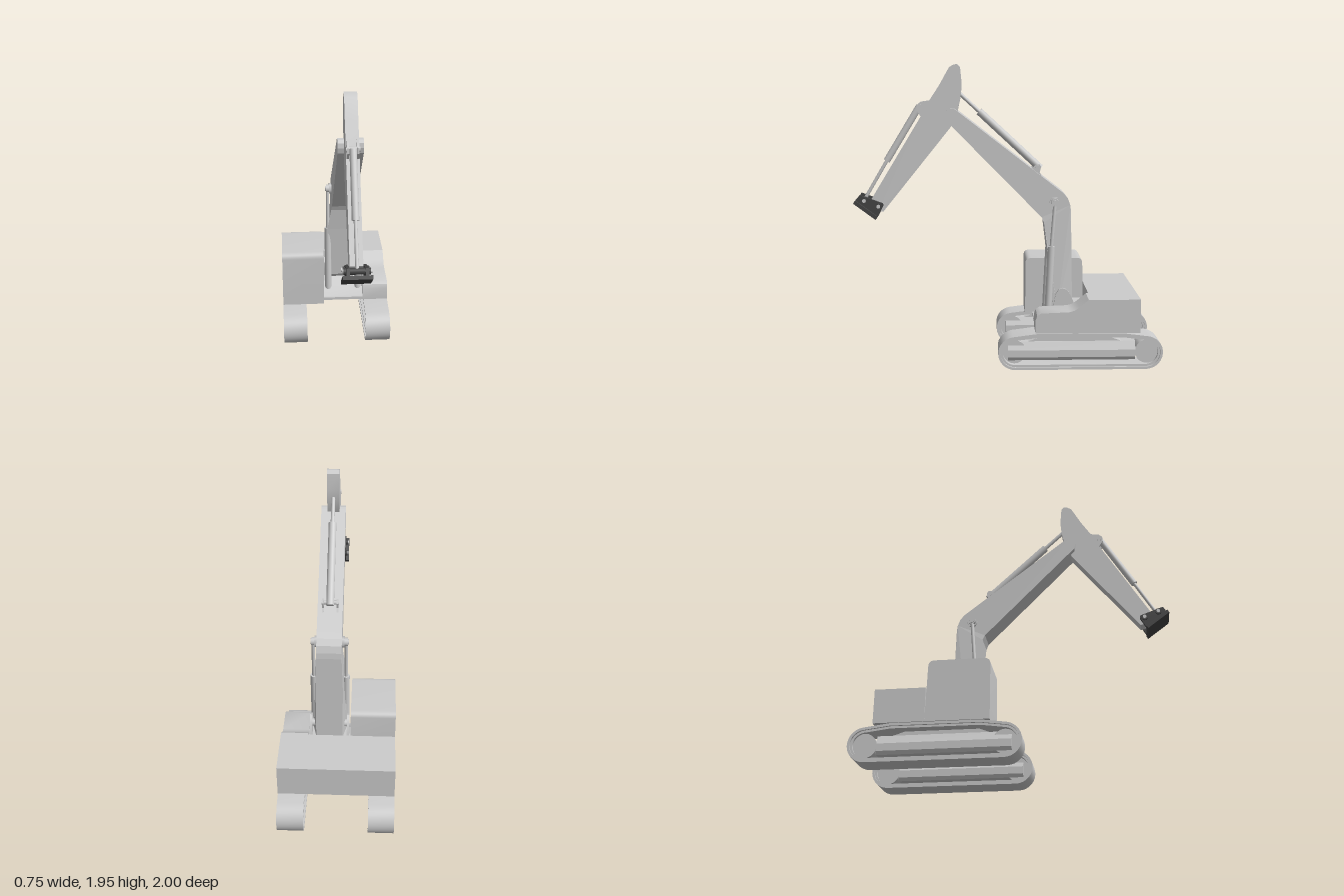
import * as THREE from 'three';
import { toCreasedNormals } from 'three/addons/utils/BufferGeometryUtils.js';

const grey = new THREE.MeshStandardMaterial({ color: 0xcccccc });
const dark = new THREE.MeshStandardMaterial({ color: 0x444444 });
const MID = 0.06; // x of the digging arm

// Shape or hole path through [z, y] points
function trace(path, pts) {
  path.setFromPoints(pts.map(([z, y]) => new THREE.Vector2(-z, y)));
  path.closePath();
  return path;
}

// Side profile extruded from x0 to x1
function slab(name, shape, x0, x1, mat = grey) {
  const geo = new THREE.ExtrudeGeometry(shape, { depth: x1 - x0, bevelEnabled: false, curveSegments: 8 });
  geo.rotateY(Math.PI / 2).translate(x0, 0, 0);
  const mesh = new THREE.Mesh(toCreasedNormals(geo, 0.6), mat);
  mesh.name = name;
  return mesh;
}
const plate = (name, pts, x0, x1, mat) => slab(name, trace(new THREE.Shape(), pts), x0, x1, mat);

// Cylinder between two [x, y, z] points
function rod(name, a, b, r, mat = grey, sides = 20) {
  const A = new THREE.Vector3(...a), B = new THREE.Vector3(...b);
  const mesh = new THREE.Mesh(new THREE.CylinderGeometry(r, r, A.distanceTo(B), sides), mat);
  mesh.position.copy(A).add(B).multiplyScalar(0.5);
  mesh.quaternion.setFromUnitVectors(new THREE.Vector3(0, 1, 0), B.sub(A).normalize());
  mesh.name = name;
  return mesh;
}
const pin = (name, y, z, r, x0, x1, mat, sides) => rod(name, [x0, y, z], [x1, y, z], r, mat, sides);

// Hydraulic ram: barrel from a to b, rod from b to c
function ram(name, a, b, c, r) {
  const g = new THREE.Group();
  g.name = name;
  g.add(rod('barrel', a, b, r), rod('pistonRod', b, c, r * 0.5));
  return g;
}

// Closed track outline, set inwards by d, counter-clockwise so that holes face inwards
function trackLoop(path, d) {
  const r = 0.11 - d, pts = [];
  const arc = (z, from) => {
    for (let i = 0; i <= 14; i++) {
      const a = from + (i / 14) * 3;
      pts.push([z + Math.cos(a) * r, 0.11 + Math.sin(a) * r]);
    }
  };
  arc(-0.045, -Math.PI / 2);
  pts.push([-0.19, 0.24 - d], [-0.74, 0.24 - d]);
  arc(-0.89, Math.PI / 2 + 0.14);
  return trace(path, pts.reverse());
}

// Hollow band between two insets of the track outline
function band(name, outer, inner, x0, x1) {
  const shape = trackLoop(new THREE.Shape(), outer);
  shape.holes.push(trackLoop(new THREE.Path(), inner));
  return slab(name, shape, x0, x1);
}

// Crawler track between x0 and x1
function makeTrack(name, x0, x1) {
  const g = new THREE.Group();
  g.name = name;
  g.add(band('belt', 0, 0.016, x0, x1), band('chain', 0.014, 0.03, x0 + 0.012, x1 - 0.012));

  // Track beam with sloping sides
  const m = (x0 + x1) / 2;
  const section = new THREE.Shape([[-0.045, 0.053], [0.045, 0.053], [0.058, 0.075], [0.058, 0.122],
    [0.035, 0.175], [-0.035, 0.175], [-0.058, 0.122], [-0.058, 0.075]].map(([x, y]) => new THREE.Vector2(x, y)));
  const beam = new THREE.Mesh(new THREE.ExtrudeGeometry(section, { depth: 0.825, bevelEnabled: false }), grey);
  beam.position.set(m, 0, -0.825);
  beam.name = 'trackBeam';
  g.add(beam);
  g.add(plate('beamTop', [[-0.12, 0.17], [-0.2, 0.2], [-0.66, 0.2], [-0.75, 0.17]], m - 0.03, m + 0.03));
  g.add(pin('idlerWheel', 0.11, -0.04, 0.078, m - 0.045, m + 0.045));
  g.add(pin('driveWheel', 0.11, -0.9, 0.078, m - 0.055, m + 0.055));
  return g;
}

function makeBody() {
  const g = new THREE.Group();
  g.name = 'upperBody';
  g.add(plate('engineHousing', [[-0.53, 0.243], [-0.53, 0.462], [-0.85, 0.462], [-0.85, 0.243]], -0.373, 0.373));
  // Deck rising towards the boom foot
  g.add(plate('deck', [[-0.18, 0.243], [-0.18, 0.263], [-0.2, 0.265], [-0.33, 0.36], [-0.53, 0.36], [-0.53, 0.243]],
    -0.085, 0.2));
  g.add(plate('sideHood', [[-0.175, 0.243], [-0.175, 0.33], [-0.185, 0.358], [-0.21, 0.375], [-0.39, 0.382],
    [-0.425, 0.392], [-0.455, 0.412], [-0.515, 0.462], [-0.53, 0.462], [-0.53, 0.243]], 0.197, 0.373));
  const cab = new THREE.Shape();
  cab.moveTo(0.13, 0.243);
  cab.lineTo(0.53, 0.243);
  cab.lineTo(0.52, 0.6);
  cab.quadraticCurveTo(0.52, 0.64, 0.48, 0.64);
  cab.lineTo(0.17, 0.64);
  cab.quadraticCurveTo(0.13, 0.64, 0.13, 0.6);
  g.add(slab('cab', cab, -0.373, -0.083));
  return g;
}

function makeBoom() {
  const g = new THREE.Group();
  g.name = 'boomAssembly';
  const boom = plate('boom', [[0.335, 1.662], [0.352, 1.67], [0.375, 1.667], [0.391, 1.65], [0.396, 1.62],
    [0.388, 1.585], [-0.195, 0.99], [-0.225, 0.96], [-0.24, 0.925], [-0.26, 0.77], [-0.298, 0.39], [-0.33, 0.355],
    [-0.43, 0.355], [-0.421, 0.77], [-0.417, 1.0], [-0.412, 1.04], [-0.395, 1.085], [-0.365, 1.12],
    [-0.33, 1.147]], MID - 0.08, MID + 0.08);
  // Widen the front of the lower boom
  const pos = boom.geometry.attributes.position;
  for (let i = 0; i < pos.count; i++) {
    const t = THREE.MathUtils.clamp((0.95 - pos.getY(i)) / 0.18, 0, 1);
    const flare = pos.getZ(i) < -0.4 ? 0.1 : 0.38;
    pos.setX(i, MID + (pos.getX(i) - MID) * (1 + flare * t));
  }
  boom.geometry.computeVertexNormals();
  g.add(boom);
  g.add(pin('elbowPin', 1.06, -0.31, 0.018, MID - 0.122, MID + 0.122));
  g.add(pin('footPin', 0.43, -0.365, 0.025, MID - 0.132, MID + 0.132));
  for (const s of [-1, 1]) {
    const x = MID + s * 0.106;
    g.add(pin('pinNut', 1.06, -0.31, 0.037, MID + s * 0.078, MID + s * 0.096, grey, 6));
    g.add(pin('rodEye', 1.06, -0.31, 0.026, x - 0.01, x + 0.01));
    g.add(ram('boomRam', [x, 0.27, -0.265], [x, 0.77, -0.288], [x, 1.06, -0.31], 0.023));
    // Foot lugs on the deck and ram lugs on the boom back
    const f = MID + s * 0.123;
    g.add(plate('footLug', [[-0.29, 0.26], [-0.31, 0.42], [-0.32, 0.46], [-0.34, 0.487], [-0.365, 0.495], [-0.39, 0.485],
      [-0.41, 0.46], [-0.44, 0.39], [-0.47, 0.26]], f - 0.008, f + 0.008));
    const b = MID + s * 0.046;
    g.add(plate('stickRamLug', [[-0.13, 1.25], [-0.19, 1.305], [-0.21, 1.305], [-0.222, 1.29], [-0.212, 1.25],
      [-0.245, 1.2], [-0.2, 1.2]], b - 0.006, b + 0.006));
  }
  g.add(pin('stickRamPin', 1.285, -0.2, 0.014, MID - 0.055, MID + 0.055));
  g.add(ram('stickRam', [MID, 1.275, -0.218], [MID, 1.645, 0.18], [MID, 1.765, 0.31], 0.025));
  return g;
}

function makeStick() {
  const g = new THREE.Group();
  g.name = 'stickAssembly';
  g.add(plate('stick', [[0.345, 1.945], [0.322, 1.95], [0.303, 1.93], [0.293, 1.82], [0.3, 1.74], [0.32, 1.65],
    [0.37, 1.54], [0.81, 0.995], [0.84, 1.0], [0.885, 1.08], [0.555, 1.62], [0.5, 1.72], [0.44, 1.81],
    [0.372, 1.93]], MID - 0.04, MID + 0.04));
  for (const s of [-1, 1]) {
    const x = MID + s * 0.03;
    g.add(plate('bucketRamLug', [[0.48, 1.72], [0.56, 1.708], [0.582, 1.69], [0.585, 1.655], [0.555, 1.61], [0.5, 1.6]],
      x - 0.007, x + 0.007));
  }
  g.add(pin('bucketRamPin', 1.675, 0.56, 0.016, MID - 0.042, MID + 0.042));
  g.add(ram('bucketRam', [MID, 1.68, 0.568], [MID, 1.325, 0.785], [MID, 1.08, 0.93], 0.022));
  return g;
}

// Tool coupler: base plate, two cheeks and two pins
function makeCoupler() {
  const g = new THREE.Group();
  g.name = 'toolCoupler';
  g.add(plate('basePlate', [[1, 1.055], [0.988, 1.075], [0.845, 0.968], [0.857, 0.948]], MID - 0.087, MID + 0.087, dark));
  for (const s of [-1, 1]) {
    const x = MID + s * 0.055;
    g.add(plate('cheek', [[0.99, 1.062], [0.962, 1.107], [0.94, 1.1], [0.81, 1.052], [0.808, 1.035], [0.852, 0.955]],
      x - 0.01, x + 0.01, dark));
  }
  for (const [y, z] of [[1.072, 0.93], [1.035, 0.838]]) {
    g.add(pin('couplerPin', y, z, 0.02, MID - 0.078, MID + 0.078, dark));
    g.add(pin('pinCore', y, z, 0.012, MID - 0.086, MID + 0.086));
  }
  return g;
}

export function createModel() {
  const model = new THREE.Group();
  model.name = 'excavator';
  model.add(makeTrack('leftTrack', 0.203, 0.373), makeTrack('rightTrack', -0.373, -0.208));
  model.add(makeBody(), makeBoom(), makeStick(), makeCoupler());
  return model;
}
